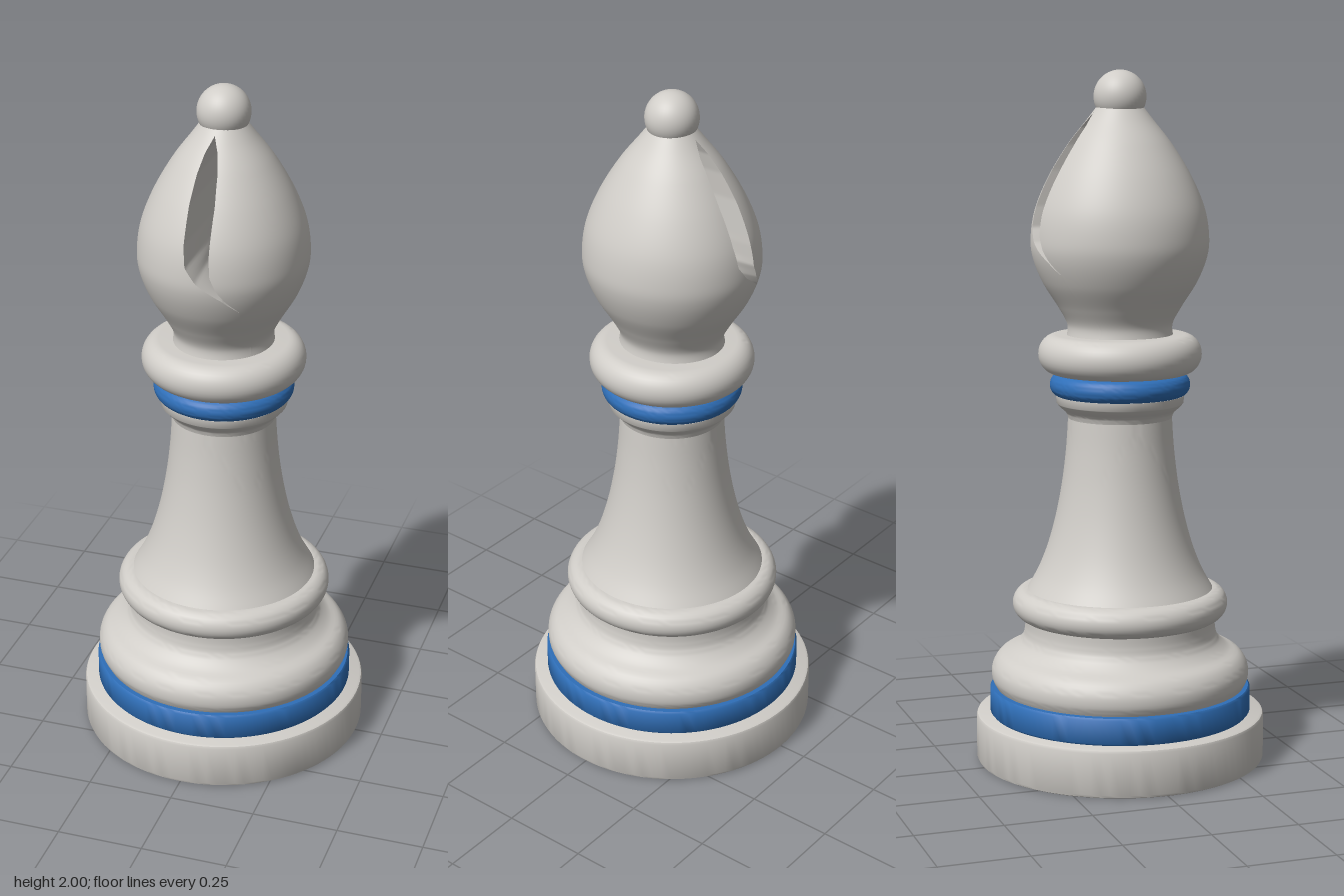
import * as THREE from 'three';
import { toCreasedNormals } from 'three/addons/utils/BufferGeometryUtils.js';

const stone = new THREE.MeshStandardMaterial({ name: 'warm grey', color: 0xd0cdc8 });
const blue = new THREE.MeshStandardMaterial({ name: 'blue', color: 0x2f6fb8 });

// Turned part from [radius, height] pairs, listed bottom to top
function turned(name, points, material = stone) {
  const geo = new THREE.LatheGeometry(points.map(([r, y]) => new THREE.Vector2(r, y)), 96);
  const mesh = new THREE.Mesh(toCreasedNormals(geo, 0.7), material);
  mesh.name = name;
  return mesh;
}

// Smooth curve through a few [radius, height] pairs
function smooth(points, steps = 28) {
  return new THREE.SplineCurve(points.map(([r, y]) => new THREE.Vector2(r, y)))
    .getPoints(steps).map((p) => [p.x, p.y]);
}

// Closed ring with rounded outer edge
function roundRing(inner, outer, y0, y1, bulge) {
  const points = [[inner, y0]];
  for (let i = 0; i <= 16; i++) {
    const a = -Math.PI / 2 + (Math.PI * i) / 16;
    points.push([outer - bulge + bulge * Math.cos(a), (y0 + y1) / 2 + ((y1 - y0) / 2) * Math.sin(a)]);
  }
  points.push([inner, y1]);
  return points;
}

// Surface from a rule (u, v, target); it faces along dU x dV
function surface(rule, nu, nv) {
  const geo = new THREE.PlaneGeometry(1, 1, nu, nv);
  const pos = geo.attributes.position;
  const uv = geo.attributes.uv;
  const p = new THREE.Vector3();
  for (let i = 0; i < pos.count; i++) {
    rule(uv.getX(i), uv.getY(i), p);
    pos.setXYZ(i, p.x, p.y, p.z);
  }
  geo.computeVertexNormals();
  return geo;
}

// Piecewise linear lookup of x in [height, x] pairs
function lookup(table, y) {
  if (y <= table[0][0]) return table[0][1];
  for (let i = 1; i < table.length; i++) {
    const [y1, x1] = table[i];
    const [y0, x0] = table[i - 1];
    if (y <= y1) return x0 + ((x1 - x0) * (y - y0)) / (y1 - y0);
  }
  return table[table.length - 1][1];
}

const headCurve = new THREE.SplineCurve([
  [0.155, 1.24], [0.152, 1.28], [0.178, 1.33], [0.222, 1.4], [0.25, 1.47], [0.256, 1.53],
  [0.243, 1.61], [0.205, 1.7], [0.15, 1.79], [0.095, 1.86], [0.06, 1.905],
].map(([r, y]) => new THREE.Vector2(r, y)));

// Slit edges as seen on the front; the back is the same turned half round
const slitLeft = [[1.43, 0.11], [1.47, 0.07], [1.52, 0], [1.56, -0.03], [1.62, -0.037],
  [1.72, -0.036], [1.79, -0.029], [1.84, -0.018], [1.88, 0]];
const slitRight = [[1.43, 0.11], [1.47, 0.078], [1.5, 0.058], [1.54, 0.04], [1.6, 0.036],
  [1.72, 0.036], [1.79, 0.029], [1.84, 0.018], [1.88, 0]];

// One half of the head: a curved shell and the slit wall that closes it
function headHalf() {
  const half = new THREE.Group();
  const limits = (v) => {
    const { x: rz, y } = headCurve.getPoint(v);
    const rx = rz * 0.94;
    const front = Math.min(lookup(slitRight, y), rx * 0.9);
    const back = Math.min(-lookup(slitLeft, y), rx * 0.9);
    return { rx, rz, y, front, back, a0: Math.asin(front / rx), a1: Math.PI - Math.asin(back / rx) };
  };
  const shell = surface((u, v, p) => {
    const s = limits(v);
    const a = s.a0 + (s.a1 - s.a0) * u;
    p.set(s.rx * Math.sin(a), s.y, s.rz * Math.cos(a));
  }, 64, 110);
  const wall = surface((u, v, p) => {
    const s = limits(0.25 + 0.75 * v);
    const z0 = s.rz * Math.cos(s.a1);
    const z1 = s.rz * Math.cos(s.a0);
    p.set(s.back + (s.front - s.back) * u, s.y, z0 + (z1 - z0) * u);
  }, 16, 110);
  for (const [name, geo] of [['headShell', shell], ['slitWall', wall]]) {
    const mesh = new THREE.Mesh(geo, stone);
    mesh.name = name;
    half.add(mesh);
  }
  return half;
}

export function createModel() {
  const model = new THREE.Group();
  model.name = 'chessBishop';

  // Base and its blue band
  model.add(turned('base', [[0, 0], [0.412, 0], [0.418, 0.003], [0.421, 0.01],
    [0.421, 0.13], [0.418, 0.137], [0.412, 0.14], [0, 0.14]]));
  model.add(turned('baseBand', [[0.3, 0.14], [0.376, 0.14], [0.381, 0.146],
    [0.381, 0.212], [0.376, 0.218], [0.3, 0.218]], blue));

  // Swelling foot and the ring above it
  model.add(turned('foot', [[0.3, 0.217], ...smooth([[0.364, 0.22], [0.375, 0.245], [0.373, 0.28],
    [0.352, 0.312], [0.315, 0.332], [0.287, 0.36], [0.278, 0.39], [0.277, 0.425]])]));
  model.add(turned('footRing', roundRing(0.2, 0.313, 0.42, 0.508, 0.042)));

  // Tapering stem with a small flare under the neck band
  model.add(turned('stem', smooth([[0.272, 0.503], [0.24, 0.56], [0.212, 0.63], [0.187, 0.72],
    [0.168, 0.82], [0.156, 0.92], [0.15, 1.01]])));
  model.add(turned('neckFlare', [...smooth([[0.149, 1.005], [0.156, 1.025], [0.172, 1.04],
    [0.183, 1.052]], 12), [0.185, 1.075], [0.1, 1.075]]));
  model.add(turned('neckBand', roundRing(0.1, 0.202, 1.073, 1.137, 0.028), blue));
  model.add(turned('collar', roundRing(0.05, 0.235, 1.138, 1.25, 0.05)));

  // Head: two equal halves with a hooked slit between them
  const head = new THREE.Group();
  head.name = 'head';
  for (let i = 0; i < 2; i++) {
    const half = headHalf();
    half.name = i ? 'headRight' : 'headLeft';
    half.rotation.y = Math.PI * i;
    head.add(half);
  }
  model.add(head);

  // Ball on top
  const ball = new THREE.Mesh(new THREE.SphereGeometry(0.075, 40, 28), stone);
  ball.name = 'finial';
  ball.position.y = 1.925;
  model.add(ball);
  return model;
}
